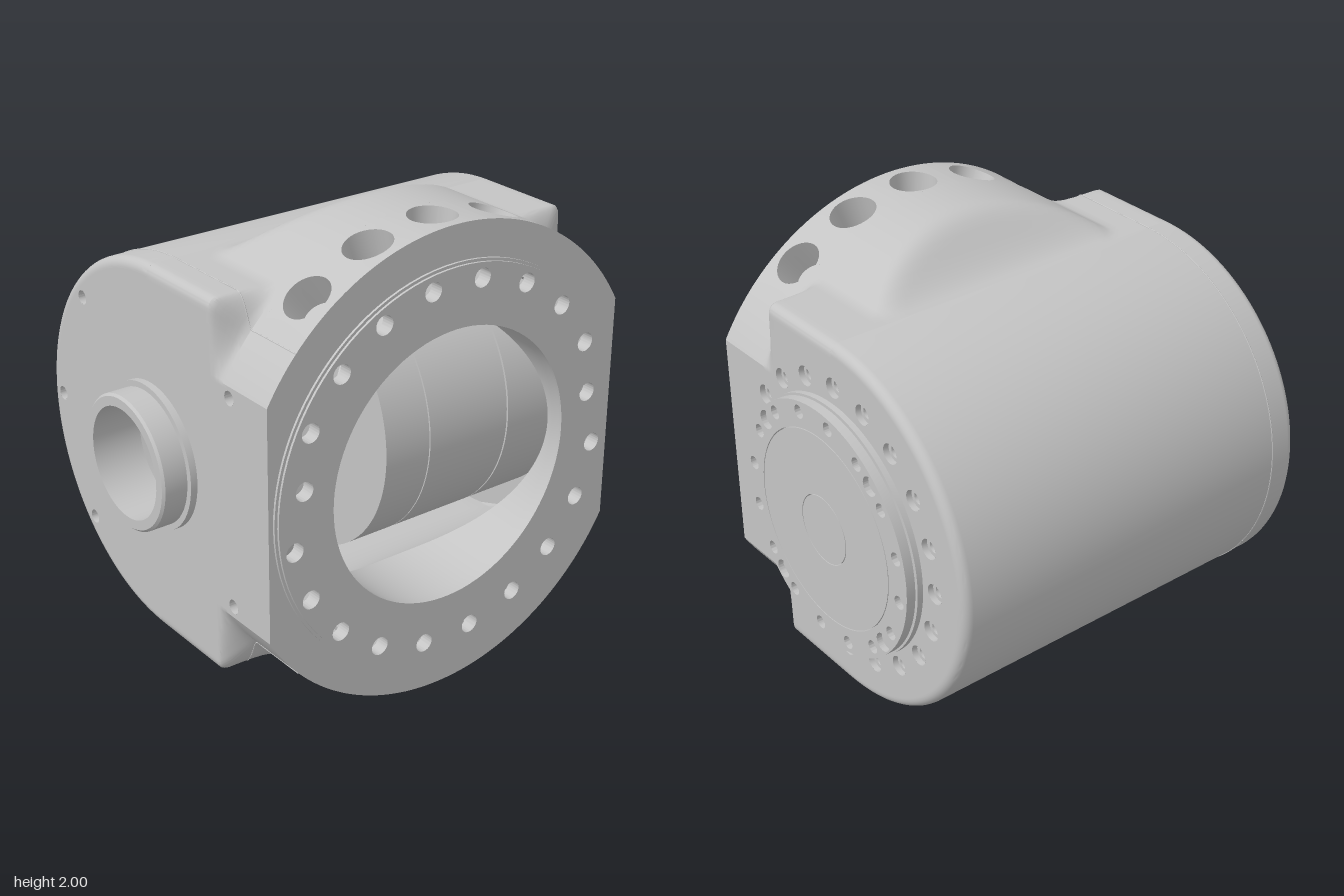
import * as THREE from 'three';
import { toCreasedNormals } from 'three/addons/utils/BufferGeometryUtils.js';

const HX = 0.87, HY = 0.8, RIM = 0.04, WALL = 0.755, CAV = 0.72, CX = 0.79, BORE = 0.585, DEG = Math.PI / 180;
const metal = new THREE.MeshStandardMaterial({ color: 0xc4c4c4, side: THREE.DoubleSide });
metal.name = 'grey metal';

const smooth = (a, b, v) => THREE.MathUtils.smoothstep(v, a, b);
const softMin = (a, b, k) => Math.min(a, b) - Math.max(k - Math.abs(a - b), 0) ** 2 / (4 * k);
const over = (a, b) => a / Math.max(Math.abs(b), 1e-9);

// radius of the rounded rectangular body section along direction (c, s)
function boxRadius(c, s) {
  c = Math.abs(c); s = Math.abs(s);
  const r = Math.min(over(HX, c), over(HY, s));
  const cx = HX - RIM, cy = HY - RIM;
  if (r * c <= cx || r * s <= cy) return r;
  const b = c * cx + s * cy;
  return b + Math.sqrt(Math.max(0, b * b - cx * cx - cy * cy + RIM * RIM));
}

// outer radius at depth z: round flange with sloped shoulder, blended with the body corners
function outerRadius(a, z) {
  const c = Math.cos(a), s = Math.sin(a);
  const h = HY + 0.26 * smooth(0, 0.4, z);
  const flange = Math.min(softMin(1, over(h, s), 0.05), over(HX, c));
  return flange + Math.max(0, boxRadius(c, s) - flange) * (1 - smooth(0.42, 0.505, z));
}

// joins rows of points into quads; skip() leaves openings
function skin(rows, skip = () => false) {
  const n = rows[0].length, idx = [];
  for (let i = 0; i < rows.length - 1; i++) for (let j = 0; j < n; j++) {
    const k = (j + 1) % n, a = i * n + j, b = i * n + k, c = b + n, d = a + n;
    if (!skip(rows[i][j], rows[i][k], rows[i + 1][j])) idx.push(a, b, c, a, c, d);
  }
  const g = new THREE.BufferGeometry();
  g.setAttribute('position', new THREE.Float32BufferAttribute(rows.flat(2), 3));
  g.setIndex(idx);
  return g;
}

// front half of the housing, lofted along z
function frontHousing() {
  const quad = [0.48, 0.49306, 0.7, 0.76, 0.775, 0.79].map(y => Math.atan2(y, HX));
  for (const x of [0.83, 0.845, 0.86, 0.868]) quad.push(Math.atan2(HY, x));
  for (let d = 0; d <= 90; d += 1.5) quad.push(d * DEG);
  quad.sort((a, b) => a - b);
  const half = [...quad, ...quad.slice(0, -1).reverse().map(a => Math.PI - a)];
  const angles = [...half, ...half.slice(1, -1).map(a => a + Math.PI)];
  const zs = [0, 0.03, 0.06, 0.09, 0.12, 0.15, 0.18, 0.21, 0.24, 0.27, 0.3, 0.33, 0.36, 0.39, 0.42,
    0.43, 0.44, 0.45, 0.46, 0.47, 0.48, 0.49, 0.505, 0.53, 0.6, 0.78];
  const row = (z, f) => angles.map(a => [f(a) * Math.cos(a), f(a) * Math.sin(a), z]);
  const rows = zs.map(z => row(z, a => outerRadius(a, z)));
  rows.push(row(0.78, () => 0.84));
  return skin(rows, (p, q, up) => {
    const x = Math.abs(p[0] + q[0]) / 2, y = Math.abs(p[1] + q[1]) / 2, z = (p[2] + up[2]) / 2;
    const endFace = x > HX - 0.001 && ((z < 0.42 && y < 0.7) || (z < 0.6 && y < 0.48));
    return endFace || (z > 0.53 && z < 0.779 && y > x);
  });
}

// directions round a rectangle, corners included, and the distance to its edge
function rectRays(w, hi, lo, step) {
  const angs = [];
  for (let d = -180; d < 180; d += step) angs.push(d * DEG);
  for (const v of [hi, -lo]) angs.push(Math.atan2(v, w), Math.atan2(v, -w));
  angs.sort((a, b) => a - b);
  return [angs, a => Math.min(over(w, Math.cos(a)), over(Math.sin(a) > 0 ? hi : lo, Math.sin(a)))];
}

// one 18 degree piece of flange rim with a stepped radial bolt pocket
function rimPocket(a0) {
  const [angs, edge] = rectRays(9 * DEG, 0.14, 0.11, 10);
  const ring = (f, R) => angs.map(a => {
    const u = a0 + f(a) * Math.cos(a);
    return [R * Math.sin(u), R * Math.cos(u), 0.64 + f(a) * Math.sin(a)];
  });
  return skin([ring(edge, 1), ring(a => (edge(a) + 0.1) / 2, 1), ring(() => 0.1, 1), ring(() => 0.1, 0.86),
    ring(() => 0.055, 0.86), ring(() => 0.055, 0.79), ring(() => 0, 0.79)]);
}

// front bore running into the cross cylinder of the cavity
function cavityFront() {
  const [angs, edge] = rectRays(CX, CAV, CAV, 3);
  const row = (t, flat) => angs.map(a => {
    const r = BORE + (edge(a) - BORE) * t, y = r * Math.sin(a);
    return [r * Math.cos(a), y, flat ?? Math.sqrt(Math.max(0, CAV * CAV - y * y))];
  });
  const rows = [row(0, 0.75)];
  for (const t of [0, 0.2, 0.4, 0.6, 0.75, 0.87, 0.95, 1]) rows.push(row(t));
  return skin(rows);
}

function addHole(shape, x, y, r) {
  shape.holes.push(new THREE.Path().absarc(x, y, r, 0, Math.PI * 2, true));
}

// flat end wall of the housing; shape x runs towards the back
function endWall(x, holes) {
  const s = new THREE.Shape().absarc(0, 0, WALL, -Math.PI / 2, Math.PI / 2, false);
  for (const [px, py] of [[0, 0.7], [-0.42, 0.7], [-0.42, 0.48], [-0.6, 0.48],
    [-0.6, -0.48], [-0.42, -0.48], [-0.42, -0.7], [0, -0.7]]) s.lineTo(px, py);
  for (const [hx, hy, r] of holes) addHole(s, hx, hy, r);
  return new THREE.ShapeGeometry(s, 32).rotateY(Math.PI / 2).translate(x, 0, 0);
}

// solids of revolution and cylinders about the x axis
const latheX = (pts, seg = 96, a = 0, len = Math.PI * 2) =>
  new THREE.LatheGeometry(pts.map(p => new THREE.Vector2(...p)), seg, a, len).rotateZ(-Math.PI / 2);
const cylX = (r, x0, x1) =>
  new THREE.CylinderGeometry(r, r, x1 - x0, 96).rotateZ(-Math.PI / 2).translate((x0 + x1) / 2, 0, 0);

export function createModel() {
  const model = new THREE.Group();
  model.name = 'actuatorHousing';
  const core = new THREE.Group();
  core.name = 'housing';
  core.position.set(0.03, 1, 0);
  model.add(core);
  const add = (name, geo) => {
    const m = new THREE.Mesh(toCreasedNormals(geo, 0.5), metal);
    m.name = name;
    core.add(m);
    return m;
  };

  // housing shell
  add('frontHousing', frontHousing());
  const profile = [[WALL, -HX]];
  for (let i = 0; i <= 6; i++) {
    const a = i * 15 * DEG;
    profile.push([HY - RIM + RIM * Math.sin(a), -HX + RIM - RIM * Math.cos(a)]);
  }
  const mirrored = profile.map(([r, x]) => [r, -x]).reverse();
  add('rearHousing', latheX([...profile, ...mirrored], 64, Math.PI / 2, Math.PI));

  // cavity lining
  add('cavityFront', cavityFront());
  add('cavityRear', latheX([[CAV, -CX], [CAV, CX]], 64, Math.PI / 2, Math.PI));
  for (const x of [-CX, CX]) add('cavityEnd', latheX([[0.235, x], [CAV, x]]));
  for (const y of [-0.76, 0.76]) add('boltHoleFloor', new THREE.PlaneGeometry(1.6, 0.08).translate(0, y, 0));

  // radial bolt pockets around the flange rim
  for (const base of [0, 180]) for (let k = -2; k <= 2; k++)
    add('rimPocket', rimPocket((base + k * 18) * DEG));

  // left end wall with bolt pockets around the output hub
  const bolts = [];
  for (let k = 2; k <= 18; k++) {
    const a = k * 18 * DEG;
    bolts.push([-0.615 * Math.cos(a), 0.615 * Math.sin(a), 0.043]);
  }
  add('leftWall', endWall(HX, bolts));
  for (const [bx, by] of bolts)
    add('hubBoltPocket', latheX([[0, 0.8], [0.026, 0.8], [0.026, 0.845], [0.043, 0.845], [0.043, HX]], 24))
      .position.set(0, by, -bx);

  // right end wall with shaft bore and cover screw pockets
  const screws = [[0.505, 0.505], [0.715, 0], [0.505, -0.505], [-0.54, 0.445], [-0.54, -0.445]]
    .map(p => [...p, 0.03]);
  add('rightWall', endWall(-HX, [[0, 0, 0.235], ...screws]));
  for (const [sx, sy] of screws)
    add('coverScrewPocket', latheX([[0.03, -HX], [0.03, -0.81], [0, -0.81]], 20)).position.set(0, sy, -sx);

  // output hub with drilled face
  add('hubNeck', cylX(0.535, 0.86, 0.925));
  add('hubCollar', cylX(0.555, 0.88, 0.905));
  const face = new THREE.Shape().absarc(0, 0, 0.547, 0, Math.PI * 2, false);
  const drill = (deg, r) => addHole(face, -0.5 * Math.cos(deg * DEG), 0.5 * Math.sin(deg * DEG), r);
  for (let k = 0; k < 16; k++) drill(8 + 22.5 * k, 0.029);
  for (let k = 0; k < 4; k++) drill(41.75 + 90 * k, 0.041);
  addHole(face, 0, 0, 0.432);
  add('hubFace', new THREE.ExtrudeGeometry(face, { depth: 0.04, bevelEnabled: false, curveSegments: 48 })
    .rotateY(Math.PI / 2).translate(0.91, 0, 0));
  add('hubDisc', latheX([[0.152, 0.92], [0.152, 0.95], [0.428, 0.95], [0.428, 0.92]].reverse()));
  add('hubCentre', cylX(0.148, 0.92, 0.95));

  // hollow shaft boss on the other end
  add('shaftBoss', latheX([[0.235, -CX], [0.235, -1.01], [0.275, -1.01], [0.285, -1.0], [0.285, -0.9],
    [0.31, -0.9], [0.31, -0.86]], 64));

  // end cover seam, running round the back between the flange edges
  const seamX = -0.74, path = [];
  const seamY = z => {
    let lo = 0.6, hi = 0.9;
    for (let i = 0; i < 24; i++) {
      const y = (lo + hi) / 2;
      if (Math.hypot(seamX, y) < outerRadius(Math.atan2(y, seamX), z)) lo = y; else hi = y;
    }
    return lo;
  };
  const frontZ = [0.78, 0.66, 0.54, 0.505, 0.49, 0.475, 0.46, 0.44, 0.42, 0.3, 0.15];
  for (const z of frontZ) path.push(new THREE.Vector3(seamX, seamY(z), z));
  for (let d = 0; d <= 180; d += 5)
    path.push(new THREE.Vector3(seamX, HY * Math.cos(d * DEG), -HY * Math.sin(d * DEG)));
  for (const z of [...frontZ].reverse()) path.push(new THREE.Vector3(seamX, -seamY(z), z));
  add('coverSeam', new THREE.TubeGeometry(new THREE.CatmullRomCurve3(path), 240, 0.003, 6));

  // front mounting ring with twenty bolt holes (two set inwards) and a stepped edge
  for (const [name, r, z, depth] of [['mountingRing', 0.85, 0.74, 0.05], ['mountingRingFace', 0.838, 0.79, 0.01]]) {
    const ring = new THREE.Shape().absarc(0, 0, r, 0, Math.PI * 2, false);
    addHole(ring, 0, 0, BORE);
    for (let k = 0; k < 20; k++) {
      const a = (9 + 18 * k) * DEG, inset = k === 0 || k === 9 ? 0.94 : 1;
      addHole(ring, 0.775 * inset * Math.cos(a), 0.775 * Math.sin(a), 0.04);
    }
    add(name, new THREE.ExtrudeGeometry(ring, { depth, bevelEnabled: false, curveSegments: 48 }).translate(0, 0, z));
  }

  // motor drum inside the opening, in three sections with narrow gaps
  for (const [x0, x1] of [[-0.17, 0.051], [0.057, 0.467], [0.475, CX]]) add('motorDrum', cylX(0.6, x0, x1));
  add('drumCore', cylX(0.585, -0.16, 0.78));

  return model;
}
